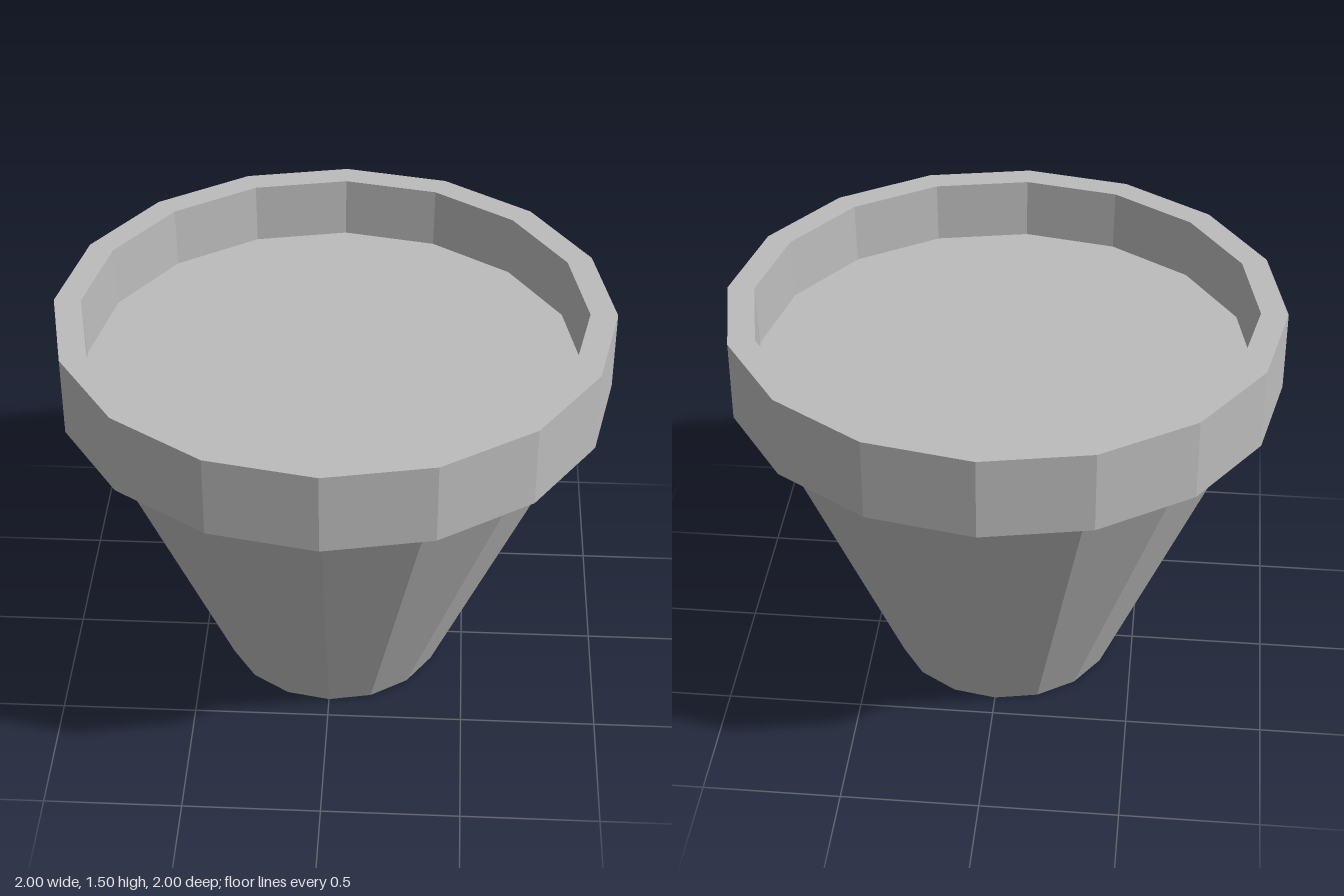
import * as THREE from 'three';

const SIDES = 16;

export function createModel() {
  const model = new THREE.Group();
  model.name = 'flowerPot';

  const grey = new THREE.MeshStandardMaterial({ color: 0xbcbcbc, flatShading: true });
  grey.name = 'light grey';

  // Revolve a [radius, height] profile into a faceted part
  const addLathe = (name, profile) => {
    const points = profile.map(([r, y]) => new THREE.Vector2(r, y));
    const mesh = new THREE.Mesh(new THREE.LatheGeometry(points, SIDES), grey);
    mesh.name = name;
    model.add(mesh);
  };

  // Tapered body with closed base
  addLathe('body', [[0, 0], [0.413, 0], [0.915, 1.2]]);

  // Overhanging rim: underside, outer wall, lip and inner wall
  addLathe('rim', [[0.915, 1.2], [1, 1.2], [1, 1.5], [0.903, 1.5], [0.895, 1.275]]);

  // Soil surface sunk inside the rim
  addLathe('soil', [[0.895, 1.275], [0, 1.275]]);

  return model;
}
